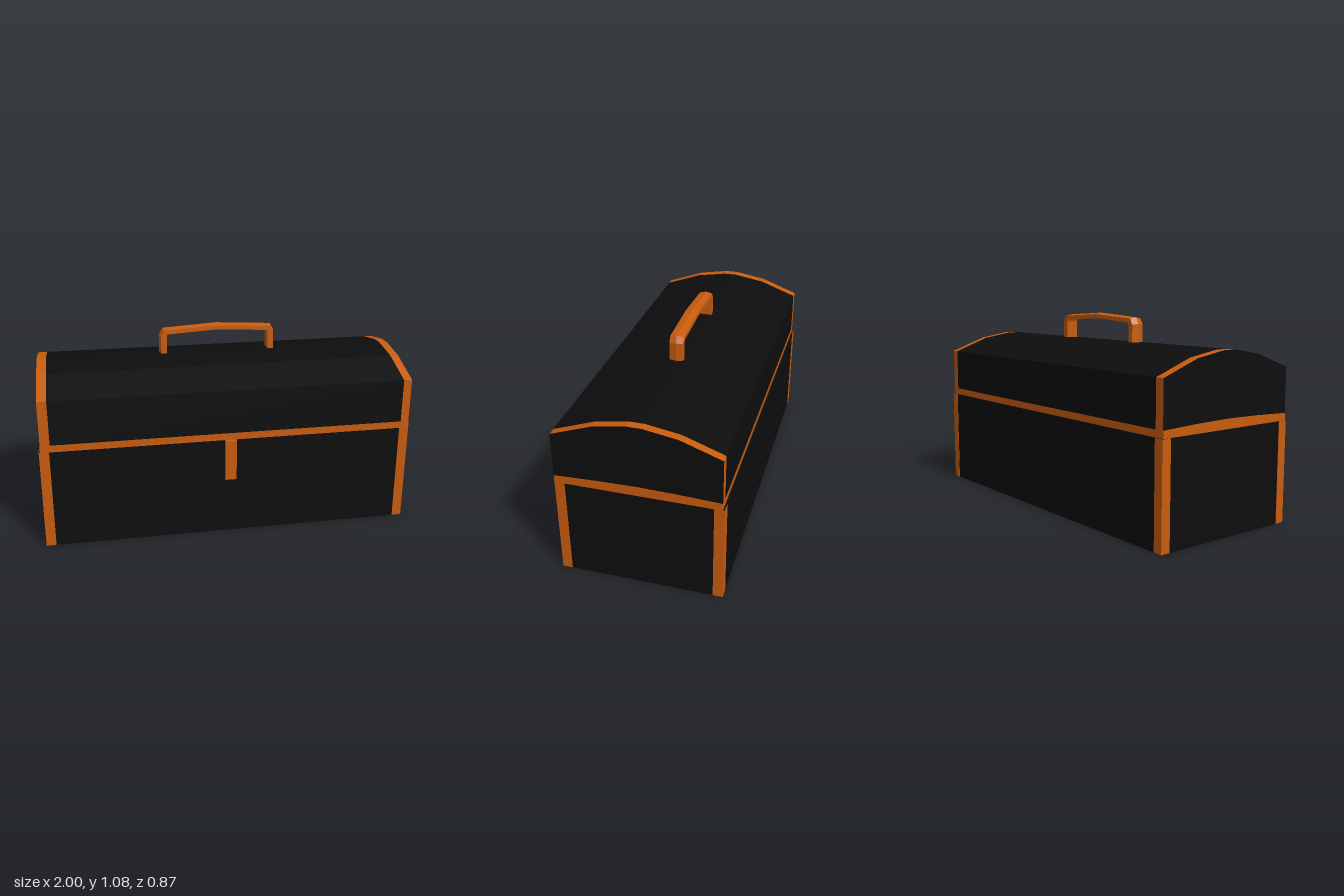
import * as THREE from 'three';

const black = new THREE.MeshStandardMaterial({ name: 'black', color: 0x0d0d0d });
const orange = new THREE.MeshStandardMaterial({ name: 'orange', color: 0xc85c0e });

const BACK = -0.435, FRONT = 0.418, LID_BACK = -0.425;
const SEAM = 0.54;

function add(group, name, geometry, material) {
  const mesh = new THREE.Mesh(geometry, material);
  mesh.name = name;
  group.add(mesh);
  return mesh;
}

// Box given by its lower and upper corners
function boxBetween(x0, y0, z0, x1, y1, z1) {
  return new THREE.BoxGeometry(x1 - x0, y1 - y0, z1 - z0)
    .translate((x0 + x1) / 2, (y0 + y1) / 2, (z0 + z1) / 2);
}

// Side outline of (z, y) points drawn out from x0 to x1
function slab(points, x0, x1) {
  const shape = new THREE.Shape(points.map(([z, y]) => new THREE.Vector2(z, y)));
  return new THREE.ExtrudeGeometry(shape, { depth: x1 - x0, bevelEnabled: false })
    .rotateY(-Math.PI / 2).translate(x1, 0, 0);
}

// Five-sided bar with a slight ridge on its outer side, swept over an arch
function handleGeometry() {
  const half = [ // inner, outer and ridge points from the foot to the middle
    [[0.285, 0.91], [0.317, 0.91], [0.325, 0.91]],
    [[0.285, 1.015], [0.317, 1.018], [0.325, 1.022]],
    [[0.28, 1.028], [0.298, 1.05], [0.305, 1.057]],
    [[0, 1.045], [0, 1.067], [0, 1.075]],
  ];
  const mirrored = half.slice(0, 3).reverse().map(s => s.map(([x, y]) => [-x, y]));
  const z0 = -0.04, z1 = 0.033, zm = (z0 + z1) / 2;
  const rings = [...half, ...mirrored].map(([inner, outer, ridge]) => [
    [...inner, z0], [...outer, z0], [...ridge, zm], [...outer, z1], [...inner, z1],
  ]);
  const positions = [];
  for (let i = 0; i < rings.length - 1; i++) {
    for (let j = 0; j < 5; j++) {
      const k = (j + 1) % 5;
      const a = rings[i][j], b = rings[i][k], c = rings[i + 1][k], d = rings[i + 1][j];
      positions.push(...b, ...a, ...d, ...b, ...d, ...c);
    }
  }
  const geometry = new THREE.BufferGeometry();
  geometry.setAttribute('position', new THREE.Float32BufferAttribute(positions, 3));
  geometry.computeVertexNormals();
  return geometry;
}

export function createModel() {
  const model = new THREE.Group();
  model.name = 'toolbox';

  // Lower box with corner trim
  const p = 0.002, w = 0.052;
  add(model, 'body', boxBetween(-1 + p, 0, BACK + p, 1 - p, SEAM, FRONT - p), black);
  for (const side of [-1, 1]) {
    const x0 = side < 0 ? -1 : 1 - w;
    const label = side < 0 ? 'right' : 'left';
    add(model, label + 'FrontCornerTrim', boxBetween(x0, 0.001, FRONT - w, x0 + w, SEAM, FRONT), orange);
    add(model, label + 'BackCornerTrim', boxBetween(x0, 0.001, BACK, x0 + w, SEAM, BACK + w), orange);
  }

  // Seam band, its top edge slightly arched on the ends
  const x0 = -0.992, x1 = 0.998;
  const band = [[LID_BACK, SEAM], [FRONT, SEAM], [FRONT, 0.578], [0.2, 0.587], [0, 0.591], [-0.21, 0.587], [LID_BACK, 0.578]];
  add(model, 'seamBand', slab(band, x0 - p, x1 + p), orange);

  // Domed lid: black middle, end slices with orange rims and black end faces
  const lid = [
    [LID_BACK, 0.577], [FRONT, 0.577], [FRONT, 0.816], [0.205, 0.893],
    [0.035, 0.922], [-0.04, 0.922], [-0.215, 0.893], [LID_BACK, 0.816],
  ];
  add(model, 'lid', slab(lid, x0 + 0.05, x1 - 0.045), black);
  add(model, 'rightLidEnd', slab(lid, x0, x0 + 0.05), [black, orange]);
  add(model, 'leftLidEnd', slab(lid, x1 - 0.045, x1), [black, orange]);

  // Latch and carrying handle
  add(model, 'latch', boxBetween(-0.03, 0.315, FRONT - 0.01, 0.03, SEAM, 0.436), orange);
  add(model, 'handle', handleGeometry(), orange);
  return model;
}
